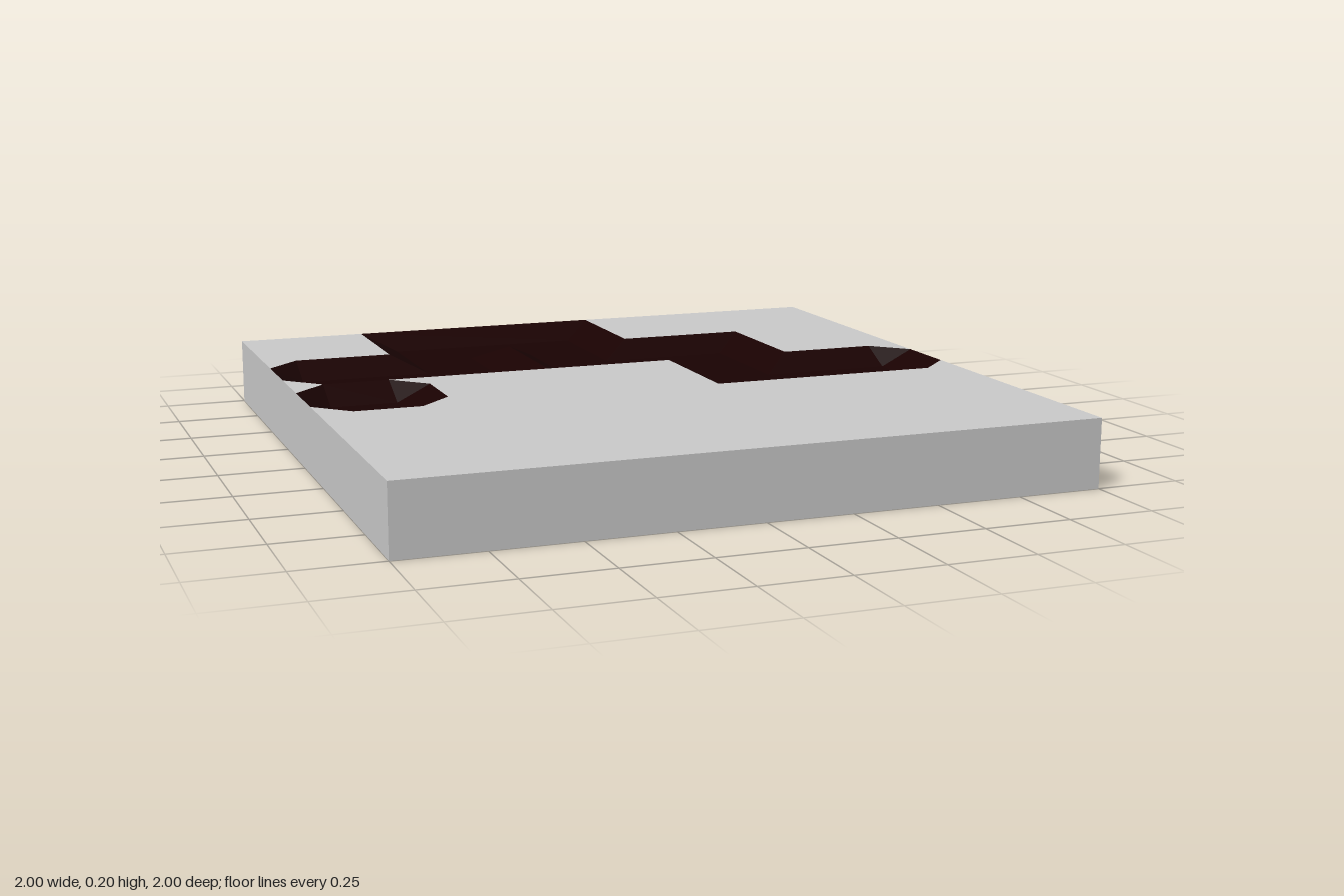
import * as THREE from 'three';

const TOP = 0.2, DEPTH = 0.05, U = 0.1; // outlines below are in tenths of a unit

// flat horizontal polygon from [x, z] points, facing up
function flat(points, y) {
  const shape = new THREE.Shape(points.map(([x, z]) => new THREE.Vector2(x * U, -z * U)));
  return new THREE.ShapeGeometry(shape).rotateX(-Math.PI / 2).translate(0, y, 0);
}

// sloping walls between the rim and the floor outline, one flat facet per side
function slopes(outline) {
  const pos = [];
  const tri = (...v) => {
    if (new Set(v.map(String)).size === 3) pos.push(...v.flat());
  };
  const rim = ([x, z]) => [x * U, TOP, z * U];
  const foot = ([, , x, z]) => [x * U, TOP - DEPTH, z * U];
  outline.forEach((a, i) => {
    const b = outline[(i + 1) % outline.length];
    tri(rim(a), foot(a), foot(b));
    tri(rim(a), foot(b), rim(b));
  });
  const g = new THREE.BufferGeometry();
  g.setAttribute('position', new THREE.Float32BufferAttribute(pos, 3));
  g.computeVertexNormals();
  return g;
}

export function createModel() {
  const model = new THREE.Group();
  const grey = new THREE.MeshStandardMaterial({ color: 0xcccccc });
  const dark = new THREE.MeshStandardMaterial({ color: 0x190202 });
  const add = (parent, geometry, material, name) => {
    const mesh = new THREE.Mesh(geometry, material);
    mesh.name = name;
    parent.add(mesh);
  };

  // slab sides and underside: a box without its top face
  const box = new THREE.BoxGeometry(2, TOP, 2).translate(0, TOP / 2, 0);
  const index = Array.from(box.index.array);
  index.splice(12, 6);
  box.setIndex(index);
  box.clearGroups();
  add(model, box, grey, 'slabSides');

  // ground left standing around the pits
  const ground = {
    groundBackRight: [[-10, -10], [-6, -10], [-6, -6], [-9, -6], [-10, -5]],
    groundBackLeft: [[2, -10], [10, -10], [10, -1], [9, -2], [6, -2], [6, -6], [2, -6]],
    groundWedge: [[-10, -3], [-9, -2], [-10, -1]],
    groundFront: [[-10, 10], [10, 10], [10, 1], [9, 2], [2, 2], [2, -2], [-7, -2],
      [-6, -1], [-6, 1], [-7, 2], [-9, 2], [-10, 1]],
  };
  for (const [name, points] of Object.entries(ground)) add(model, flat(points, TOP), grey, name);

  // pits: each entry is rim x, z and the floor corner x, z below it
  const pits = {
    windingPit: [
      [-6, -10, -5, -9], [2, -10, 1, -9], [2, -6, 1, -5], [6, -6, 5, -5], [6, -2, 5, -1],
      [9, -2, 9, -1], [10, -1, 9, -1], [10, 1, 9, 1], [9, 2, 9, 1], [2, 2, 3, 1], [2, -2, 3, -3],
      // sharp ridge jutting into the pit
      [-2, -2, -1, -3], [-2, -6, -1, -7], [-2, -6, -3, -7], [-2, -2, -3, -3],
      [-9, -2, -9, -3], [-10, -3, -9, -3], [-10, -5, -9, -5], [-9, -6, -9, -5], [-6, -6, -5, -5],
    ],
    smallPit: [
      [-9, -2, -9, -1], [-7, -2, -7, -1], [-6, -1, -7, -1], [-6, 1, -7, 1],
      [-7, 2, -7, 1], [-9, 2, -9, 1], [-10, 1, -9, 1], [-10, -1, -9, -1],
    ],
  };
  for (const [name, outline] of Object.entries(pits)) {
    const pit = new THREE.Group();
    pit.name = name;
    const floor = outline.map((p) => p.slice(2))
      .filter((p, i, all) => String(p) !== String(all[(i + 1) % all.length]));
    add(pit, flat(floor, TOP - DEPTH), dark, 'pitFloor');
    add(pit, slopes(outline), dark, 'pitSlopes');
    model.add(pit);
  }
  return model;
}
